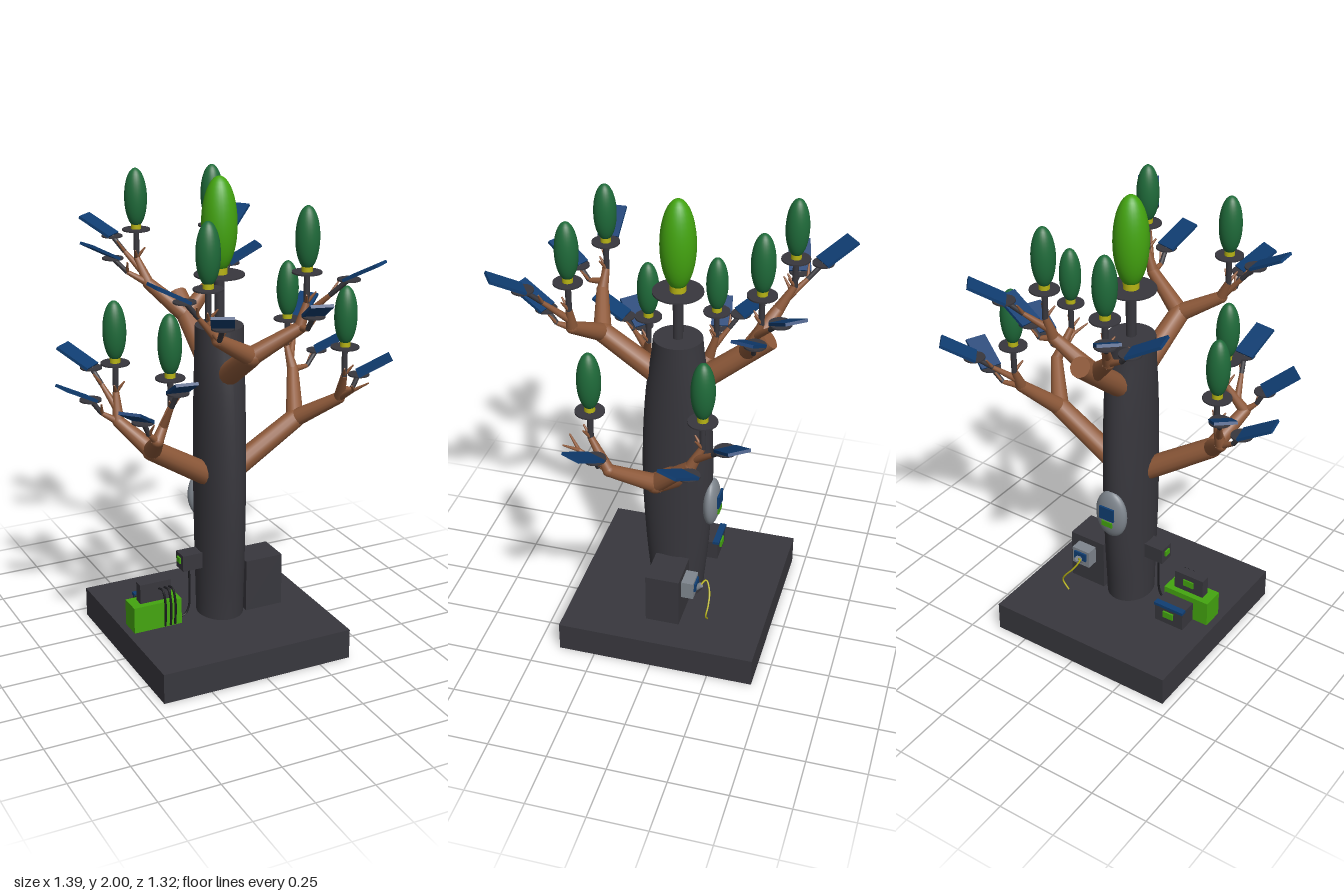
import * as THREE from 'three';

const V = (x, y, z) => new THREE.Vector3(x, y, z);
const mat = (name, color) => {
  const m = new THREE.MeshStandardMaterial({ color });
  m.name = name;
  return m;
};

export function createModel() {
  const root = new THREE.Group();
  root.name = 'solarTree';
  const charcoal = mat('charcoal', 0x38373d);
  const bark = mat('bark', 0x8f5a3a);
  const leaf = mat('leafGreen', 0x1f6b3a);
  const lime = mat('limeGreen', 0x44a510);
  const navy = mat('solarBlue', 0x103e73);
  const yellow = mat('yellow', 0xb8b414);
  const grey = mat('lightGrey', 0x7f868e);
  const black = mat('black', 0x1c1c20);

  // Helpers
  const add = (name, geo, material, x = 0, y = 0, z = 0, parent = root) => {
    const m = new THREE.Mesh(geo, material);
    m.name = name;
    m.position.set(x, y, z);
    parent.add(m);
    return m;
  };
  // box from its minimum and maximum corners
  const box = (name, material, a, b) =>
    add(name, new THREE.BoxGeometry(b[0] - a[0], b[1] - a[1], b[2] - a[2]), material,
      (a[0] + b[0]) / 2, (a[1] + b[1]) / 2, (a[2] + b[2]) / 2);
  // tapered rod between two points
  const rod = (name, material, a, b, ra, rb, parent = root) => {
    const d = b.clone().sub(a);
    const mid = a.clone().add(b).multiplyScalar(0.5);
    const m = add(name, new THREE.CylinderGeometry(rb, ra, d.length(), 14), material, mid.x, mid.y, mid.z, parent);
    m.quaternion.setFromUnitVectors(V(0, 1, 0), d.normalize());
    return m;
  };
  const joint = (p, r, parent) => add('branchJoint', new THREE.SphereGeometry(r, 14, 10), bark, p.x, p.y, p.z, parent);
  const cable = (name, material, pts, r) =>
    add(name, new THREE.TubeGeometry(new THREE.CatmullRomCurve3(pts.map(p => V(...p))), 28, r, 6), material);

  // Base slab
  box('base', charcoal, [-0.46, 0, -0.443], [0.39, 0.13, 0.405]);

  // Trunk: constant width across, bulging in depth
  const trunkGeo = new THREE.CylinderGeometry(1, 1, 1.27, 40, 20);
  const depth = new THREE.SplineCurve([
    [0, 0.114], [0.18, 0.136], [0.37, 0.15], [0.55, 0.149], [0.75, 0.133], [1, 0.1],
  ].map(p => new THREE.Vector2(...p)));
  const tp = trunkGeo.attributes.position;
  for (let i = 0; i < tp.count; i++) {
    const t = tp.getY(i) / 1.27 + 0.5;
    tp.setX(i, tp.getX(i) * 0.098);
    tp.setZ(i, tp.getZ(i) * depth.getPoint(t).y);
  }
  trunkGeo.computeVertexNormals();
  add('trunk', trunkGeo, charcoal, -0.013, 0.765, -0.012);

  // Bulb turbine standing on a post, disc and yellow hub
  const bulb = (x, discY, z, r, h, discR, postLen, postR, material, parent) => {
    add('turbinePost', new THREE.CylinderGeometry(postR, postR, postLen, 14), charcoal, x, discY - postLen / 2, z, parent);
    add('turbineDisc', new THREE.CylinderGeometry(discR, discR, 0.006, 28), charcoal, x, discY, z, parent);
    add('turbineHub', new THREE.CylinderGeometry(r * 0.45, r * 0.45, 0.03, 18), yellow, x, discY + 0.015, z, parent);
    const b = add('turbineBulb', new THREE.SphereGeometry(1, 28, 20), material, x, discY + 0.01 + h / 2, z, parent);
    b.scale.set(r, h / 2, r);
  };
  bulb(-0.012, 1.607, -0.012, 0.072, 0.383, 0.102, 0.22, 0.021, lime, root);

  // Solar panel with connector disc and post; dir points outward
  const panel = (x, y, z, dx, dz, start, parent) => {
    const l = Math.hypot(dx, dz);
    dx /= l; dz /= l;
    const p = add('solarPanel', new THREE.BoxGeometry(0.088, 0.012, 0.155), navy, x, y, z, parent);
    p.rotation.order = 'YXZ';
    p.rotation.set(-0.49, Math.atan2(dx, dz), 0);
    const c = V(x - dx * 0.062, y - 0.04, z - dz * 0.062);
    add('panelDisc', new THREE.CylinderGeometry(0.044, 0.044, 0.006, 24), charcoal, c.x, c.y, c.z, parent);
    const foot = c.clone().lerp(start, 0.4);
    foot.y = Math.min(foot.y, c.y - 0.06);
    rod('twig', bark, start, foot, 0.016, 0.009, parent);
    rod('panelPost', charcoal, foot, c, 0.01, 0.01, parent);
    // small bare prong beside the post
    rod('prong', bark, foot, foot.clone().add(V(dz * 0.03 + dx * 0.02, 0.05, -dx * 0.03 + dz * 0.02)), 0.008, 0.003, parent);
  };

  // Main limbs; each arm: elbow, bulb (x, disc height, z), panels (x, y, z, dx, dz)
  const limbs = [
    { name: 'frontLimb', from: [-0.015, 1.2, 0.05], to: [-0.035, 1.36, 0.31], arms: [
      { elbow: [0.14, 1.47, 0.375], bulb: [0.168, 1.685, 0.374],
        panels: [[0.297, 1.72, 0.574, 0.55, 0.83], [0.124, 1.58, 0.537, -0.27, 0.96]] },
      { elbow: [-0.2, 1.46, 0.36], bulb: [-0.235, 1.66, 0.352],
        panels: [[-0.26, 1.58, 0.525, -0.45, 0.9], [-0.404, 1.67, 0.378, -1, 0.03]] }] },
    { name: 'backLimb', from: [-0.015, 1.17, -0.05], to: [-0.03, 1.44, -0.38], fork: [-0.03, 1.37, -0.29], arms: [
      { elbow: [-0.16, 1.5, -0.38], bulb: [-0.187, 1.72, -0.437],
        panels: [[-0.297, 1.72, -0.58, -0.65, -0.75], [-0.355, 1.65, -0.42, -1, 0.25]] },
      { elbow: [0.12, 1.5, -0.34], bulb: [0.13, 1.72, -0.375],
        panels: [[0.297, 1.72, -0.507, 0.8, -0.6], [0.27, 1.59, -0.36, 1, 0.17]] }] },
    { name: 'leftLimb', from: [0.03, 0.75, -0.015], to: [0.345, 0.94, -0.02], arms: [
      { elbow: [0.42, 1.1, -0.18], bulb: [0.415, 1.315, -0.226],
        panels: [[0.574, 1.32, -0.377, 0.8, -0.58], [0.61, 1.2, -0.185, 0.9, 0.4]] },
      { elbow: [0.47, 1.06, 0.13], bulb: [0.445, 1.305, 0.207],
        panels: [[0.6, 1.2, 0.185, 0.9, 0.4]] }] },
    { name: 'rightLimb', from: [-0.06, 0.76, 0.005], to: [-0.35, 0.945, 0.07], arms: [
      { elbow: [-0.45, 1.05, -0.03], bulb: [-0.445, 1.285, -0.063],
        panels: [[-0.552, 1.29, -0.2, -0.62, -0.75], [-0.617, 1.19, -0.044, -1, 0.2]] },
      { elbow: [-0.4, 1.05, 0.24], bulb: [-0.327, 1.285, 0.204],
        panels: [[-0.355, 1.3, 0.375, -0.15, 1], [-0.515, 1.19, 0.315, -0.7, 0.7]] }] },
  ];
  for (const limb of limbs) {
    const g = new THREE.Group();
    g.name = limb.name;
    root.add(g);
    const end = V(...limb.to);
    const fork = V(...(limb.fork || limb.to));
    rod('limb', bark, V(...limb.from), end, 0.048, 0.042, g);
    if (!limb.fork) joint(end, 0.042, g);
    for (const arm of limb.arms) {
      const elbow = V(...arm.elbow);
      const [bx, by, bz] = arm.bulb;
      const knob = V(bx, by - 0.12, bz);
      rod('arm', bark, fork, elbow, 0.038, 0.025, g);
      joint(elbow, 0.025, g);
      rod('armTip', bark, elbow, knob, 0.024, 0.013, g);
      rod('prong', bark, knob, knob.clone().add(V(0.03, 0.045, 0.02)), 0.009, 0.003, g);
      rod('prong', bark, knob, knob.clone().add(V(-0.02, 0.04, 0.035)), 0.009, 0.003, g);
      bulb(bx, by, bz, 0.047, 0.245, 0.058, 0.125, 0.012, leaf, g);
      arm.panels.forEach((p, i) =>
        panel(...p, i ? elbow : elbow.clone().lerp(knob, 0.4), g));
    }
  }
  // Bare twig on the left limb
  rod('bareTwig', bark, V(0.47, 1.06, 0.13), V(0.465, 1.13, 0.25), 0.016, 0.008);
  for (const s of [-1, 1])
    rod('prong', bark, V(0.465, 1.13, 0.25), V(0.465 + s * 0.04, 1.17, 0.3), 0.008, 0.003);

  // Cabinet with charger, blue plate and cable
  box('cabinet', charcoal, [0.08, 0.13, -0.088], [0.25, 0.36, 0.058]);
  box('charger', grey, [0.122, 0.25, -0.14], [0.208, 0.33, -0.086]);
  box('chargerScreen', navy, [0.135, 0.28, -0.148], [0.195, 0.318, -0.139]);
  rod('chargerPlug', grey, V(0.165, 0.27, -0.13), V(0.165, 0.3, -0.165), 0.014, 0.012);
  cable('chargerCable', yellow,
    [[0.165, 0.295, -0.16], [0.14, 0.31, -0.18], [0.16, 0.27, -0.2], [0.2, 0.22, -0.205], [0.22, 0.18, -0.2], [0.19, 0.14, -0.2]], 0.004);

  // Battery boxes
  box('batteryBox', lime, [-0.43, 0.13, -0.055], [-0.215, 0.245, 0.04]);
  box('controller', charcoal, [-0.39, 0.245, -0.03], [-0.25, 0.33, 0.012]);
  box('controllerScreen', lime, [-0.345, 0.275, -0.036], [-0.295, 0.305, -0.029]);
  box('inverter', charcoal, [-0.36, 0.13, -0.14], [-0.222, 0.22, -0.056]);
  box('inverterLid', navy, [-0.362, 0.212, -0.146], [-0.22, 0.225, -0.118]);
  box('inverterScreen', lime, [-0.315, 0.165, -0.148], [-0.265, 0.195, -0.139]);
  for (const x of [-0.305, -0.28, -0.26])
    cable('batteryCable', black,
      [[x, 0.3, 0.012], [x + 0.005, 0.3, 0.04], [x + 0.01, 0.24, 0.055], [x + 0.01, 0.14, 0.05]], 0.005);

  // Box on the trunk with its cable
  box('trunkBox', charcoal, [-0.197, 0.355, -0.05], [-0.1, 0.425, 0.02]);
  box('trunkBoxLight', lime, [-0.204, 0.385, -0.03], [-0.196, 0.41, 0]);
  cable('trunkBoxCable', black,
    [[-0.155, 0.36, -0.015], [-0.155, 0.26, -0.01], [-0.16, 0.17, -0.01], [-0.18, 0.138, -0.01], [-0.215, 0.14, -0.01]], 0.005);

  // Oval display on the back of the trunk
  add('display', new THREE.SphereGeometry(1, 28, 20), grey, -0.015, 0.615, -0.16).scale.set(0.075, 0.112, 0.036);
  box('displayScreen', navy, [-0.05, 0.605, -0.201], [0.02, 0.665, -0.192]);
  box('displayButton', lime, [-0.04, 0.57, -0.199], [0.01, 0.595, -0.19]);
  return root;
}
